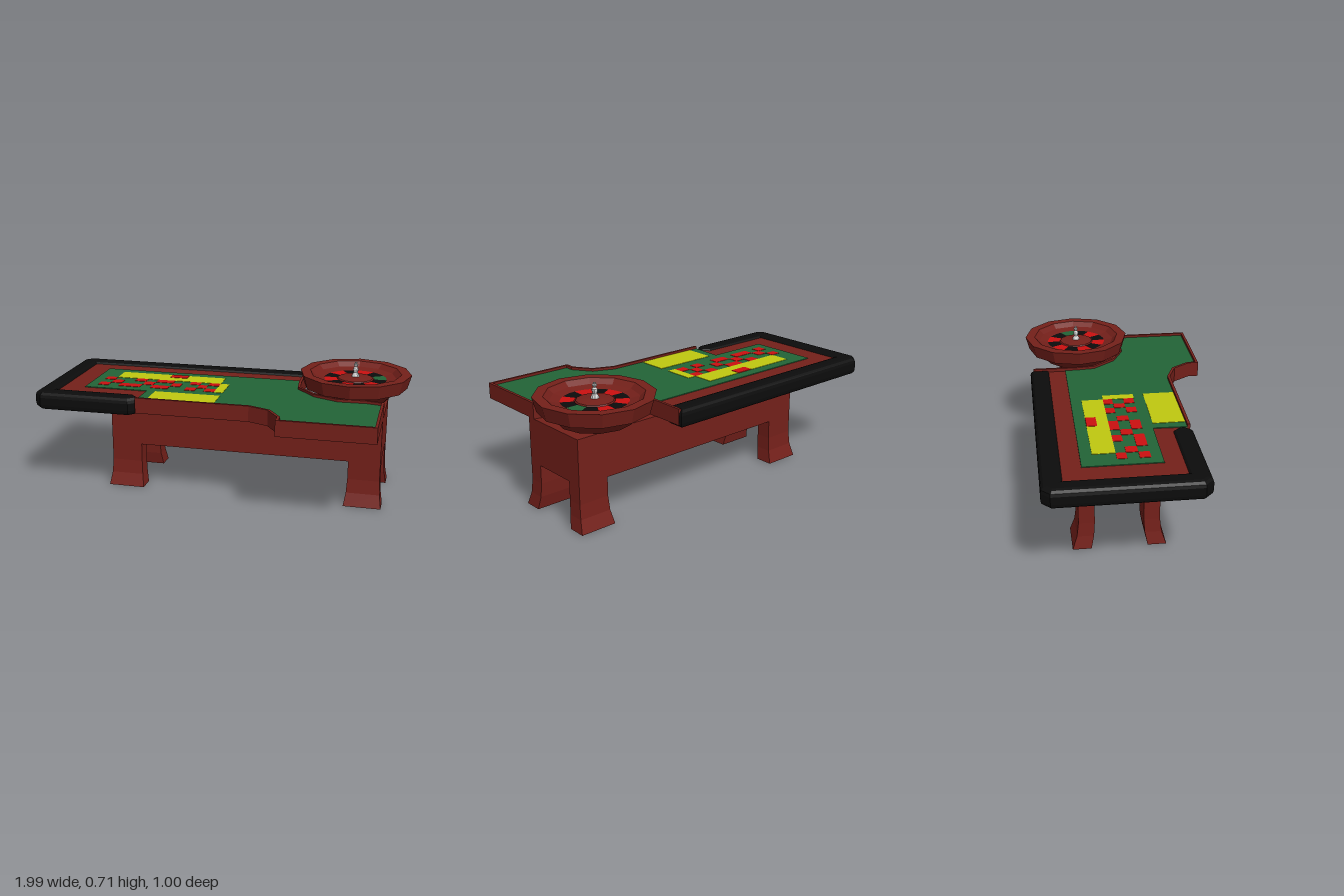
import * as THREE from 'three';

const mat = (color, extra = {}) => new THREE.MeshStandardMaterial({ color, flatShading: true, ...extra });
const wood = mat(0x74201a), green = mat(0x226437), yellow = mat(0xc0c810);
const red = mat(0xcc1010), black = mat(0x0c0c0c), metal = mat(0xcccccc);

// Plan outlines are lists of [x, z]
const planShape = pts => new THREE.Shape(pts.map(([x, z]) => new THREE.Vector2(x, -z)));

function slab(pts, y, depth, bevel = 0) {
  const g = new THREE.ExtrudeGeometry(planShape(pts), {
    depth: depth - 2 * bevel, bevelEnabled: bevel > 0, bevelSize: bevel, bevelThickness: bevel, bevelSegments: 3,
  });
  return g.rotateX(-Math.PI / 2).translate(0, y + bevel, 0);
}

// Mitred inward offset of an open plan path
function inset(path, d) {
  const normal = (a, b) => {
    const l = Math.hypot(b[0] - a[0], b[1] - a[1]);
    return [(b[1] - a[1]) / l, -(b[0] - a[0]) / l];
  };
  return path.map((p, i) => {
    const n1 = normal(path[Math.max(i - 1, 0)], path[Math.max(i, 1)]);
    const k = Math.min(i, path.length - 2);
    const n2 = normal(path[k], path[k + 1]);
    const s = d / (1 + n1[0] * n2[0] + n1[1] * n2[1]);
    return [p[0] + (n1[0] + n2[0]) * s, p[1] + (n1[1] + n2[1]) * s];
  });
}

export function createModel() {
  const model = new THREE.Group();
  const add = (name, geometry, material, parent = model) => {
    const m = new THREE.Mesh(geometry, material);
    m.name = name;
    parent.add(m);
    return m;
  };

  // Body box
  add('body', new THREE.BoxGeometry(1.49, 0.24, 0.415).translate(0.125, 0.365, -0.0875), wood);

  // Four legs flaring outward at the foot
  const levels = [0, 0.07, 0.145, 0.245];
  for (const x of [-0.535, 0.785]) {
    for (const [z, dir] of [[0.0785, 1], [-0.2535, -1]]) {
      const g = new THREE.BoxGeometry(0.17, 3, 0.083, 1, 3, 1);
      const p = g.attributes.position;
      for (let i = 0; i < p.count; i++) {
        const y = levels[Math.round(p.getY(i) + 1.5)];
        const t = Math.max(0, 1 - y / 0.145) ** 2;
        p.setXYZ(i, x + p.getX(i) * (1 + 0.18 * t), y, z + p.getZ(i) * (1 + 0.16 * t) + dir * 0.026 * t);
      }
      g.computeVertexNormals();
      add(dir > 0 ? 'frontLeg' : 'backLeg', g, wood);
    }
  }

  // Table edge: front, side extension, then the hollow around the wheel
  const edge = [
    [-0.42, 0.3], [0.195, 0.3], [0.305, 0.345], [0.37, 0.44], [0.37, 0.497], [0.87, 0.497], [0.87, 0.075],
    [0.78, 0.055], [0.63, 0.06], [0.5, 0], [0.4, -0.12], [0.39, -0.22], [0.39, -0.467],
  ];
  const inner = inset(edge, 0.015);
  add('edgeRim', slab([...edge, ...inner.slice().reverse()], 0.485, 0.085), wood);
  add('tableTop', slab([...inset(edge, 0.007), [-0.945, -0.44], [-0.945, 0.255], [-0.413, 0.255]], 0.486, 0.066), wood);

  // Felt
  const felt = [...inner.slice(0, -1), [0.376, -0.285], [-0.775, -0.285], [-0.775, 0.11], [-0.415, 0.11]];
  add('felt', slab(felt, 0.55, 0.006), green);

  // Printed betting fields: x0, x1, z0, z1
  const patch = (name, x0, x1, z0, z1, material, y) => add(name,
    new THREE.BoxGeometry(x1 - x0, 0.004, z1 - z0).translate((x0 + x1) / 2, y, (z0 + z1) / 2), material);
  for (const f of [[-0.66, -0.05, -0.225, -0.11], [-0.05, 0, -0.11, 0.06], [-0.365, 0, 0.115, 0.284]])
    patch('yellowField', ...f, yellow, 0.556);
  patch('redField', -0.365, -0.265, -0.225, -0.17, red, 0.558);
  const rows = [
    [-0.11, -0.06, [[-0.72, -0.66], [-0.54, -0.475], [-0.415, -0.315], [-0.22, -0.16], [-0.11, -0.05]]],
    [-0.06, 0, [[-0.66, -0.6], [-0.475, -0.415], [-0.315, -0.26], [-0.16, -0.11]]],
    [0, 0.055, [[-0.72, -0.66], [-0.6, -0.475], [-0.415, -0.315], [-0.22, -0.16], [-0.11, -0.05]]],
  ];
  for (const [z0, z1, cells] of rows)
    for (const [x0, x1] of cells) patch('redSquare', x0, x1, z0, z1, red, 0.556);

  // Padded arm rail, a rounded U around the far end
  const b = 0.03;
  const rail = [
    [0.385 - b, -0.485 + b], [-0.975 + b, -0.485 + b], [-1 + b, -0.46 + b], [-1 + b, 0.285 - b], [-0.975 + b, 0.31 - b],
    [-0.44 - b, 0.31 - b], [-0.42 - b, 0.29 - b], [-0.42 - b, 0.22 + b], [-0.44 - b, 0.2 + b],
    [-0.89 - b, 0.2 + b], [-0.89 - b, -0.375 - b], [0.385 - b, -0.375 - b],
  ];
  add('paddedRail', slab(rail, 0.466, 0.099, b), black);

  // Wheel: bowl, coloured pockets and turned spindle
  const wheel = new THREE.Group();
  wheel.name = 'wheel';
  wheel.position.set(0.69, 0, -0.197);
  model.add(wheel);
  const lathe = (pts, n) => new THREE.LatheGeometry(pts.map(p => new THREE.Vector2(...p)), n);
  add('bowl', lathe([
    [0, 0.484], [0.1, 0.484], [0.187, 0.512], [0.243, 0.573], [0.283, 0.575], [0.304, 0.65], [0.25, 0.65],
    [0.222, 0.625], [0.17, 0.612], [0.1, 0.612], [0.095, 0.62], [0, 0.63],
  ], 12), wood, wheel);
  for (let i = 0; i < 12; i++) {
    const g = new THREE.RingGeometry(0.1, 0.17, 1, 1, Math.PI / 2 - (i + 1) * Math.PI / 6, Math.PI / 6);
    add('pocket', g.rotateX(-Math.PI / 2).translate(0, 0.615, 0), i === 2 ? green : i % 2 ? black : red, wheel);
  }
  add('spindle', lathe([
    [0.024, 0.622], [0.02, 0.635], [0.011, 0.65], [0.015, 0.665], [0.014, 0.673], [0.006, 0.682],
    [0.012, 0.69], [0.012, 0.696], [0.005, 0.698], [0.007, 0.706], [0, 0.707],
  ], 10), metal, wheel);

  return model;
}
